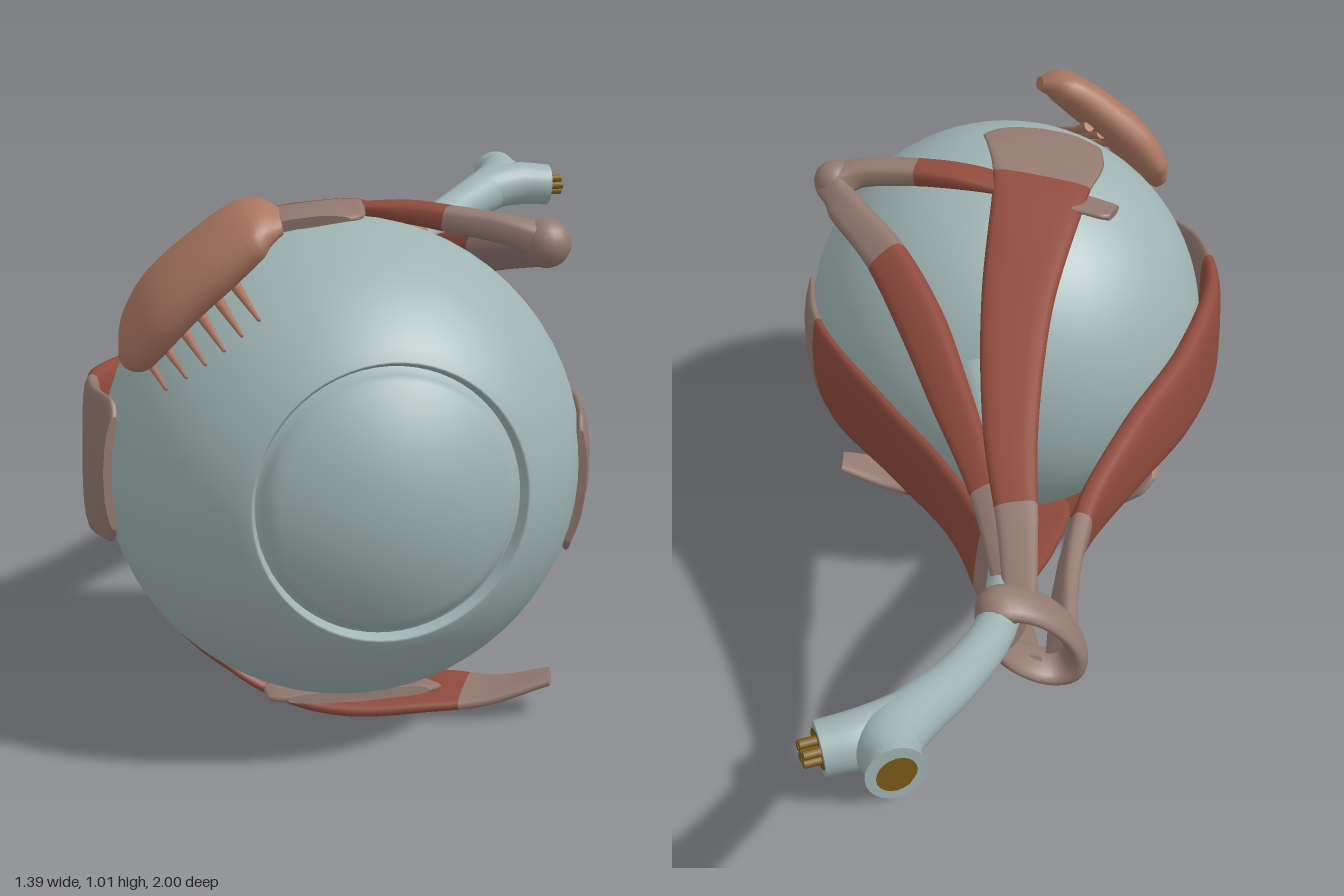
import * as THREE from 'three';

const V = (x, y, z) => new THREE.Vector3(x, y, z);
const EYE = V(-0.23, 0.495, 0.56), R = 0.445;   // eyeball centre and radius
const APEX = V(0.17, 0.6, -0.62);               // where the muscles meet

const mat = (name, color, side = THREE.FrontSide) => {
  const m = new THREE.MeshStandardMaterial({ color, side });
  m.name = name;
  return m;
};

// Outward direction from the line joining eye and muscle apex
function outward(p) {
  const q = new THREE.Line3(EYE, APEX).closestPointToPoint(p, true, V(0, 0, 0));
  return p.clone().sub(q).normalize();
}

// Loft along points [x, y, z, width, thickness], between parameters u0 and u1.
// With wrap, the band is laid over the eyeball (raised by lift) and its first end is rounded.
function loft(pts, u0, u1, { wrap = true, lift = 0, power = 0.65, sides = 20, steps = 28 } = {}) {
  const path = new THREE.CatmullRomCurve3(pts.map(p => V(p[0], p[1], p[2])));
  const size = new THREE.CatmullRomCurve3(pts.map(p => V(p[3], p[4], 0)));
  const pos = [], idx = [];
  const pw = v => Math.sign(v) * Math.abs(v) ** power;
  for (let i = 0; i <= steps; i++) {
    const u = u0 + (u1 - u0) * i / steps;
    const c = path.getPoint(u), s = size.getPoint(u), t = path.getTangent(u);
    const n = wrap ? outward(c) : V(0, 1, 0);
    n.addScaledVector(t, -n.dot(t)).normalize();
    const b = n.clone().cross(t);
    if (wrap) s.x *= 1 - 0.22 * Math.max(0, 1 - u * 25) ** 2;
    for (let j = 0; j < sides; j++) {
      const a = j / sides * Math.PI * 2;
      const q = c.clone().addScaledVector(b, pw(Math.cos(a)) * s.x / 2);
      if (wrap) {
        const d = q.clone().sub(EYE), min = R + lift + s.y * 0.3;
        if (d.length() < min) q.copy(EYE).add(d.setLength(min));
      }
      q.addScaledVector(n, pw(Math.sin(a)) * s.y / 2);
      pos.push(q.x, q.y, q.z);
    }
  }
  for (let i = 0; i < steps; i++) for (let j = 0; j < sides; j++) {
    const k = (j + 1) % sides, a = i * sides, b = a + sides;
    idx.push(a + j, a + k, b + j, a + k, b + k, b + j);
  }
  // End caps with their own vertices
  for (const [row, flip] of [[0, true], [steps, false]]) {
    const base = pos.length / 3;
    for (let j = 0; j < sides; j++) pos.push(...pos.slice((row * sides + j) * 3, (row * sides + j) * 3 + 3));
    for (let j = 1; j < sides - 1; j++)
      idx.push(base, base + (flip ? j + 1 : j), base + (flip ? j : j + 1));
  }
  const g = new THREE.BufferGeometry();
  g.setAttribute('position', new THREE.Float32BufferAttribute(pos, 3));
  g.setIndex(idx);
  g.computeVertexNormals();
  return g;
}

export function createModel() {
  const root = new THREE.Group();
  const white = mat('paleScleraBlue', 0x9fb3b3);
  const red = mat('muscleRed', 0x8f4b3d);
  const tendon = mat('tendonBrown', 0x937a70);
  const glandMat = mat('glandTan', 0xab7760);
  const gold = mat('vesselGold', 0x7a5a16);

  const add = (name, geo, m, parent = root) => {
    const mesh = new THREE.Mesh(geo, m);
    mesh.name = name;
    parent.add(mesh);
    return mesh;
  };

  // Eyeball shell with a groove around the cornea
  const profile = [];
  const rim = Math.asin(0.25 / R);
  for (let i = 0; i <= 40; i++) {
    const a = Math.PI - (Math.PI - rim) * i / 40;
    profile.push(new THREE.Vector2(Math.max(0, Math.sin(a) * R), Math.cos(a) * R));
  }
  profile.push(new THREE.Vector2(0.246, 0.366), new THREE.Vector2(0.238, 0.345));
  const eye = add('eyeball', new THREE.LatheGeometry(profile, 64), white);
  const cap = [[0.239, 0.345], [0.23, 0.35], [0.226, 0.362], [0.218, 0.375]].map(p => new THREE.Vector2(...p));
  for (let i = 1; i <= 14; i++) {
    const k = 1 - i / 14;
    cap.push(new THREE.Vector2(0.218 * k, 0.375 + 0.065 * (1 - k * k)));
  }
  const cornea = add('cornea', new THREE.LatheGeometry(cap, 64), white);
  for (const m of [eye, cornea]) {
    m.rotation.x = Math.PI / 2 - 0.03;
    m.position.copy(EYE);
  }

  // Muscles: path points [x, y, z, width, thickness], colour breaks, height over the eyeball
  const muscles = {
    superiorRectus: [[[-0.325, 0.925, 0.59, 0.27, 0.015], [-0.3, 0.936, 0.5, 0.26, 0.02], [-0.25, 0.93, 0.4, 0.21, 0.03],
      [-0.08, 0.855, 0.1, 0.15, 0.05], [0.05, 0.77, -0.2, 0.11, 0.05], [0.12, 0.71, -0.42, 0.08, 0.04],
      [0.19, 0.67, -0.62, 0.06, 0.03]], [0.32, 0.8], 0.008],
    medialRectus: [[[0.165, 0.455, 0.75, 0.28, 0.02], [0.21, 0.465, 0.55, 0.26, 0.03], [0.175, 0.5, 0.2, 0.21, 0.035],
      [0.148, 0.545, -0.1, 0.175, 0.035], [0.165, 0.59, -0.35, 0.145, 0.03], [0.2, 0.62, -0.61, 0.07, 0.03]], [0.2, 0.8], 0],
    lateralRectus: [[[-0.66, 0.505, 0.62, 0.27, 0.02], [-0.685, 0.505, 0.5, 0.28, 0.03], [-0.65, 0.505, 0.35, 0.27, 0.045],
      [-0.48, 0.52, 0.12, 0.22, 0.06], [-0.27, 0.54, -0.08, 0.18, 0.06], [-0.075, 0.55, -0.28, 0.13, 0.05],
      [0.015, 0.55, -0.42, 0.085, 0.04], [0.1, 0.545, -0.6, 0.07, 0.035]], [0.22, 0.74], 0],
    inferiorRectus: [[[-0.24, 0.08, 0.73, 0.34, 0.02], [-0.23, 0.05, 0.56, 0.3, 0.02], [-0.18, 0.08, 0.36, 0.26, 0.03],
      [-0.085, 0.19, 0.13, 0.2, 0.04], [0.03, 0.32, -0.1, 0.15, 0.04], [0.12, 0.46, -0.36, 0.1, 0.035],
      [0.17, 0.53, -0.6, 0.06, 0.03]], [0.14, 0.8], 0],
    inferiorOblique: [[[-0.505, 0.27, 0.27, 0.31, 0.02], [-0.43, 0.145, 0.36, 0.31, 0.025], [-0.33, 0.06, 0.45, 0.28, 0.03],
      [-0.2, 0.02, 0.54, 0.23, 0.035], [-0.04, 0.027, 0.62, 0.16, 0.03], [0.04, 0.036, 0.66, 0.12, 0.025],
      [0.14, 0.068, 0.7, 0.07, 0.02]], [0.18, 0.73], 0.01],
    superiorObliqueFront: [[[-0.37, 0.9, 0.28, 0.1, 0.02], [-0.3, 0.91, 0.34, 0.1, 0.015], [-0.18, 0.93, 0.42, 0.08, 0.02],
      [-0.09, 0.935, 0.49, 0.075, 0.04], [0.0, 0.925, 0.56, 0.065, 0.05], [0.09, 0.91, 0.615, 0.065, 0.055],
      [0.14, 0.89, 0.63, 0.08, 0.07]], [0.34, 0.63], 0],
    superiorObliqueBack: [[[0.15, 0.89, 0.64, 0.08, 0.06], [0.145, 0.87, 0.56, 0.08, 0.06], [0.11, 0.835, 0.4, 0.09, 0.06],
      [0.1, 0.79, 0.2, 0.1, 0.06], [0.11, 0.745, 0, 0.09, 0.05], [0.14, 0.705, -0.3, 0.06, 0.04],
      [0.2, 0.66, -0.6, 0.045, 0.03]], [0.35, 0.83], 0],
  };
  for (const [name, [pts, [a, b], lift]] of Object.entries(muscles)) {
    const g = new THREE.Group();
    g.name = name;
    add('insertionTendon', loft(pts, 0, a, { lift }), tendon, g);
    add('muscleBelly', loft(pts, a, b, { lift }), red, g);
    add('originTendon', loft(pts, b, 1, { lift }), tendon, g);
    root.add(g);
  }

  // Pulley at the bend of the upper oblique muscle
  const pulley = add('pulley', new THREE.SphereGeometry(0.046, 20, 14), tendon);
  pulley.position.set(0.142, 0.89, 0.635);

  // Slanted tendon ring around nerve and muscle origins
  const ring = add('tendonRing', new THREE.TorusGeometry(0.085, 0.024, 14, 36), tendon);
  ring.position.set(0.16, 0.597, -0.6);
  ring.scale.set(1.33, 0.7, 1.9);
  ring.rotation.set(-0.12, -0.22, 0.85);

  // Optic nerve, flared at the eye and forked at the far end
  const round = { wrap: false, power: 1, sides: 24, steps: 40 };
  const nerve = [[-0.05, 0.585, 0.22, 0.17, 0.17], [-0.015, 0.605, 0.12, 0.095, 0.095], [0.04, 0.62, -0.1, 0.075, 0.075],
    [0.13, 0.64, -0.4, 0.075, 0.075], [0.24, 0.66, -0.62, 0.08, 0.08], [0.37, 0.69, -0.76, 0.09, 0.09],
    [0.48, 0.72, -0.85, 0.105, 0.105], [0.545, 0.738, -0.91, 0.12, 0.11], [0.557, 0.743, -0.955, 0.11, 0.11],
    [0.56, 0.745, -0.997, 0.11, 0.11]];
  add('opticNerve', loft(nerve, 0, 1, round), white);
  add('nerveSideBranch', loft([[0.4, 0.7, -0.79, 0.07, 0.07], [0.5, 0.727, -0.86, 0.1, 0.1], [0.58, 0.735, -0.885, 0.105, 0.105],
    [0.66, 0.73, -0.88, 0.1, 0.1]], 0, 1, round), white);

  // Vessels showing at both branch ends
  const backDisc = add('backVessels', new THREE.CircleGeometry(0.037, 20), gold);
  backDisc.position.set(0.56, 0.745, -1);
  backDisc.rotation.y = Math.PI;
  const sideDisc = add('sideVesselBed', new THREE.CircleGeometry(0.042, 20), gold);
  sideDisc.position.set(0.662, 0.73, -0.88);
  sideDisc.rotation.y = Math.PI / 2;
  sideDisc.scale.y = 0.8;
  for (let i = 0; i < 6; i++) {
    const a = i / 5 * Math.PI * 2, r = i < 5 ? 0.02 : 0;
    const v = add('sideVessel', new THREE.CylinderGeometry(0.009, 0.009, 0.04, 8), gold);
    v.rotation.z = Math.PI / 2;
    v.position.set(0.673, 0.73 + Math.sin(a) * r * 0.8, -0.88 + Math.cos(a) * r);
  }

  // Tear gland and its row of small ducts
  add('tearGland', loft([[-0.64, 0.72, 0.63, 0.06, 0.03], [-0.622, 0.755, 0.65, 0.16, 0.07], [-0.575, 0.83, 0.68, 0.19, 0.09],
    [-0.5, 0.905, 0.71, 0.18, 0.09], [-0.425, 0.965, 0.73, 0.16, 0.075], [-0.38, 0.975, 0.74, 0.07, 0.03]],
    0, 1, { power: 0.9 }), glandMat);
  const onEye = (x, y) => V(x, y, EYE.z + Math.sqrt(Math.max(0.01, (R + 0.008) ** 2 - (x - EYE.x) ** 2 - (y - EYE.y) ** 2)));
  for (let i = 0; i < 6; i++) {
    const k = i / 5, x = -0.61 + 0.155 * k, y = 0.735 + 0.125 * k;
    const p = [onEye(x - 0.015, y + 0.03), onEye(x - 0.002, y), onEye(x + 0.02, y - 0.045)];
    add('tearDuct', loft(p.map((q, j) => [q.x, q.y, q.z, [0.034, 0.021, 0.006][j], [0.026, 0.018, 0.006][j]]),
      0, 1, { power: 1, sides: 8, steps: 8 }), glandMat);
  }
  return root;
}
